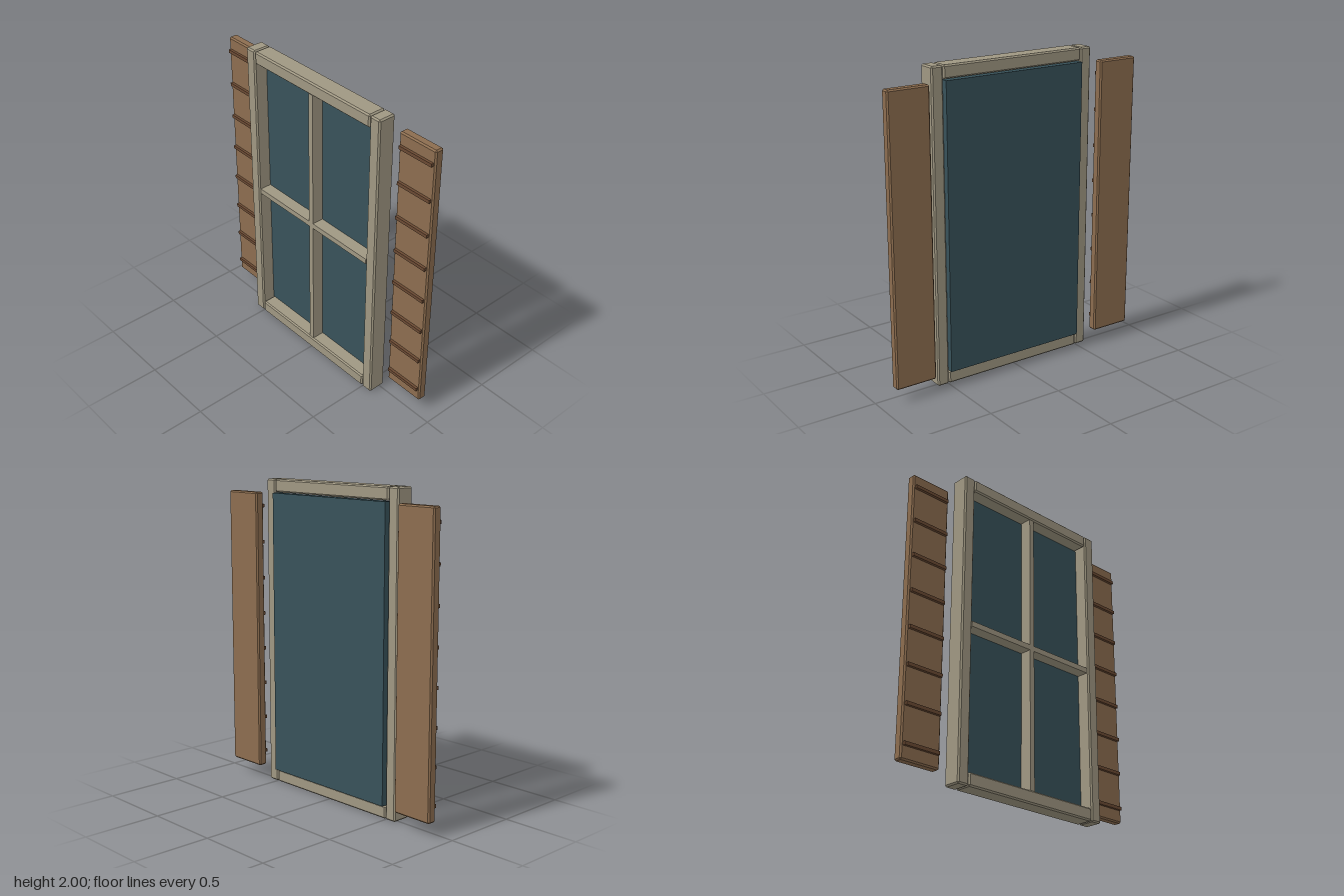
import * as THREE from 'three';
import { ConvexGeometry } from 'three/addons/geometries/ConvexGeometry.js';

const material = (color) => new THREE.MeshStandardMaterial({ color, flatShading: true });

// Box with flat chamfers of size c on every edge
function chamferBox(w, h, d, c) {
  const points = [];
  for (const sx of [-1, 1]) for (const sy of [-1, 1]) for (const sz of [-1, 1]) {
    const x = w / 2, y = h / 2, z = d / 2;
    points.push(
      new THREE.Vector3(sx * x, sy * (y - c), sz * (z - c)),
      new THREE.Vector3(sx * (x - c), sy * y, sz * (z - c)),
      new THREE.Vector3(sx * (x - c), sy * (y - c), sz * z),
    );
  }
  return new ConvexGeometry(points);
}

// Adds a box given by its [min, max] range on each axis; chamfered when c > 0
function addBox(parent, name, mat, [x0, x1], [y0, y1], [z0, z1], c = 0) {
  const size = [x1 - x0, y1 - y0, z1 - z0];
  const geometry = c > 0 ? chamferBox(...size, c) : new THREE.BoxGeometry(...size);
  const mesh = new THREE.Mesh(geometry, mat);
  mesh.name = name;
  mesh.position.set((x0 + x1) / 2, (y0 + y1) / 2, (z0 + z1) / 2);
  parent.add(mesh);
  return mesh;
}

function addGroup(parent, name) {
  const group = new THREE.Group();
  group.name = name;
  parent.add(group);
  return group;
}

export function createModel() {
  const model = new THREE.Group();
  model.name = 'shutteredWindow';
  const frameMat = material(0x9f9782);
  const glassMat = material(0x38525a);
  const shutterMat = material(0x8c6d4f);
  const slatMat = material(0x6b4a33);

  // Frame: two posts with a head rail and a sill between them
  const frame = addGroup(model, 'frame');
  const frameZ = [-0.033, 0.085];
  addBox(frame, 'rightPost', frameMat, [-0.575, -0.497], [0, 2], frameZ, 0.009);
  addBox(frame, 'leftPost', frameMat, [0.497, 0.575], [0, 2], frameZ, 0.009);
  addBox(frame, 'sill', frameMat, [-0.495, 0.495], [0, 0.082], frameZ, 0.009);
  addBox(frame, 'headRail', frameMat, [-0.495, 0.495], [1.918, 2], frameZ, 0.009);

  // Glass pane, standing slightly proud of the frame at the back
  addBox(model, 'glass', glassMat, [-0.492, 0.492], [0.086, 1.914], [-0.055, 0]);

  // Glazing bars in a cross
  const bars = addGroup(model, 'glazingBars');
  addBox(bars, 'verticalBar', frameMat, [-0.0175, 0.0175], [0.082, 1.918], [-0.01, 0.078]);
  for (const side of [-1, 1]) {
    const range = side < 0 ? [-0.492, -0.0175] : [0.0175, 0.492];
    addBox(bars, 'horizontalBar', frameMat, range, [0.9825, 1.0175], [-0.01, 0.078]);
  }

  // Shutters with eight raised slats each
  for (const side of [-1, 1]) {
    const shutter = addGroup(model, side > 0 ? 'leftShutter' : 'rightShutter');
    shutter.position.x = side * 0.755;
    addBox(shutter, 'shutterPanel', shutterMat, [-0.138, 0.138], [0.088, 1.913], [-0.085, -0.026], 0.009);
    for (let i = 0; i < 8; i++) {
      const y = 0.18 + i * 0.2348;
      addBox(shutter, 'slat', slatMat, [-0.124, 0.124], [y - 0.011, y + 0.011], [-0.04, -0.009]);
    }
  }
  return model;
}
